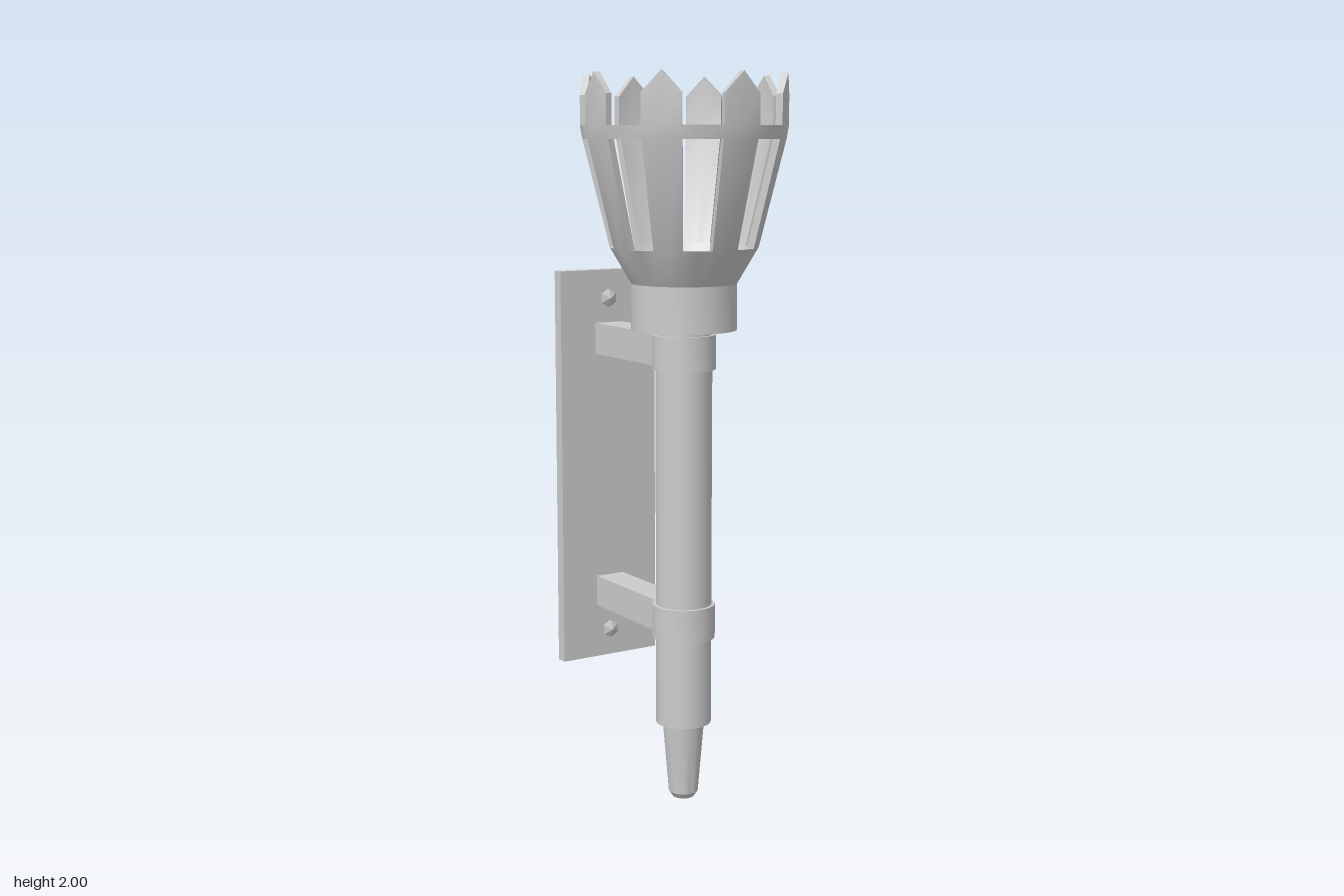
import * as THREE from 'three';
import { toCreasedNormals } from 'three/addons/utils/BufferGeometryUtils.js';

const AXIS_Z = 0.08; // torch axis, in front of the wall plate
const BACK = -0.357;
const PLATE_T = 0.034;

export function createModel() {
  const group = new THREE.Group();
  const mat = new THREE.MeshStandardMaterial({ color: 0xcccccc });

  const add = (name, geometry, x = 0, y = 0, z = 0) => {
    const mesh = new THREE.Mesh(geometry, mat);
    mesh.name = name;
    mesh.position.set(x, y, z);
    group.add(mesh);
    return mesh;
  };
  const turned = (name, profile, sides = 32) => {
    const pts = profile.map(([r, y]) => new THREE.Vector2(r, y));
    add(name, toCreasedNormals(new THREE.LatheGeometry(pts, sides), 0.5), 0, 0, AXIS_Z);
  };

  // Shaft with tapered foot, and the collar under the basket
  turned('foot', [[0, 0], [0.03, 0], [0.041, 0.016], [0.058, 0.22], [0, 0.22]]);
  turned('shaft', [[0, 0.22], [0.077, 0.22], [0.077, 1.33], [0, 1.33]]);
  turned('collar', [[0, 1.323], [0.143, 1.323], [0.143, 1.45], [0, 1.45]]);

  add('basket', basketGeometry(), 0, 0, AXIS_Z);

  // Clamp rings and arms; arm ends sit slightly recessed in the plate
  const armEnd = BACK + 0.012;
  for (const [name, y] of [['lower', 0.513], ['upper', 1.263]]) {
    const h = 0.047;
    turned(name + 'Clamp', [[0, y - h], [0.087, y - h], [0.087, y + h], [0, y + h]]);
    const length = AXIS_Z - 0.04 - armEnd;
    add(name + 'Arm', new THREE.BoxGeometry(0.089, 0.089, length), 0, y, armEnd + length / 2);
  }

  // Wall plate with square arm sockets and hexagonal bolt holes
  const plate = new THREE.Shape();
  plate.moveTo(-0.157, 0.312).lineTo(0.157, 0.312).lineTo(0.157, 1.46).lineTo(-0.157, 1.46).closePath();
  const cutHole = (y, r, sides, start) => {
    const pts = [];
    for (let i = 0; i < sides; i++) {
      const a = start - (i / sides) * Math.PI * 2;
      pts.push(new THREE.Vector2(Math.cos(a) * r, y + Math.sin(a) * r));
    }
    plate.holes.push(new THREE.Path(pts));
  };
  const boltYs = [0.39, 1.378];
  for (const y of [0.513, 1.263]) cutHole(y, 0.0445 * Math.SQRT2, 4, Math.PI / 4);
  for (const y of boltYs) cutHole(y, 0.026, 6, Math.PI / 2);
  add('wallPlate', new THREE.ExtrudeGeometry(plate, { depth: PLATE_T, bevelEnabled: false }), 0, 0, BACK);

  // Bolts with low pointed heads
  for (const y of boltYs) {
    const front = BACK + PLATE_T;
    const profile = [[0, armEnd - front], [0.026, armEnd - front], [0.026, 0.004], [0, 0.016]];
    const bolt = new THREE.LatheGeometry(profile.map((p) => new THREE.Vector2(...p)), 6);
    bolt.rotateX(Math.PI / 2);
    add('bolt', toCreasedNormals(bolt, 0.3), 0, y, front).rotation.z = Math.PI;
  }
  return group;
}

// Flared cup with eight windows and eight pointed pickets
function basketGeometry() {
  const COLS = 32;
  // [height, outer radius, inner radius]
  const rows = [
    [1.448, 0.143, 0.115], [1.545, 0.2, 0.18], [1.83, 0.271, 0.251],
    [1.865, 0.277, 0.258], [1.945, 0.277, 0.258],
  ];
  const last = rows.length - 1;
  const isPicket = (s) => s % 4 === 0 || s % 4 === 3;
  const solid = (s, k) => {
    if (k < 0 || k >= last) return false;
    return k === 0 || k === 2 || isPicket((s + COLS) % COLS);
  };
  const point = (j, k, side) => {
    const a = (j / COLS) * Math.PI * 2;
    const y = k === last && j % 4 === 0 ? 2 : rows[k][0];
    return [Math.sin(a) * rows[k][side], y, Math.cos(a) * rows[k][side]];
  };
  const pos = [];
  const quad = (a, b, c, d) => pos.push(...a, ...b, ...c, ...a, ...c, ...d);

  for (let s = 0; s < COLS; s++) {
    for (let k = 0; k < last; k++) {
      if (!solid(s, k)) continue;
      const [o00, o10, o11, o01] = [[s, k], [s + 1, k], [s + 1, k + 1], [s, k + 1]].map(([j, r]) => point(j, r, 1));
      const [i00, i10, i11, i01] = [[s, k], [s + 1, k], [s + 1, k + 1], [s, k + 1]].map(([j, r]) => point(j, r, 2));
      quad(o00, o10, o11, o01);
      quad(i10, i00, i01, i11);
      // Edge faces only where the neighbouring cell is open
      if (!solid(s, k + 1)) quad(o01, o11, i11, i01);
      if (!solid(s, k - 1)) quad(i00, i10, o10, o00);
      if (!solid(s + 1, k)) quad(o10, i10, i11, o11);
      if (!solid(s - 1, k)) quad(i00, o00, o01, i01);
    }
  }
  const geometry = new THREE.BufferGeometry();
  geometry.setAttribute('position', new THREE.Float32BufferAttribute(pos, 3));
  return toCreasedNormals(geometry, 0.35);
}
